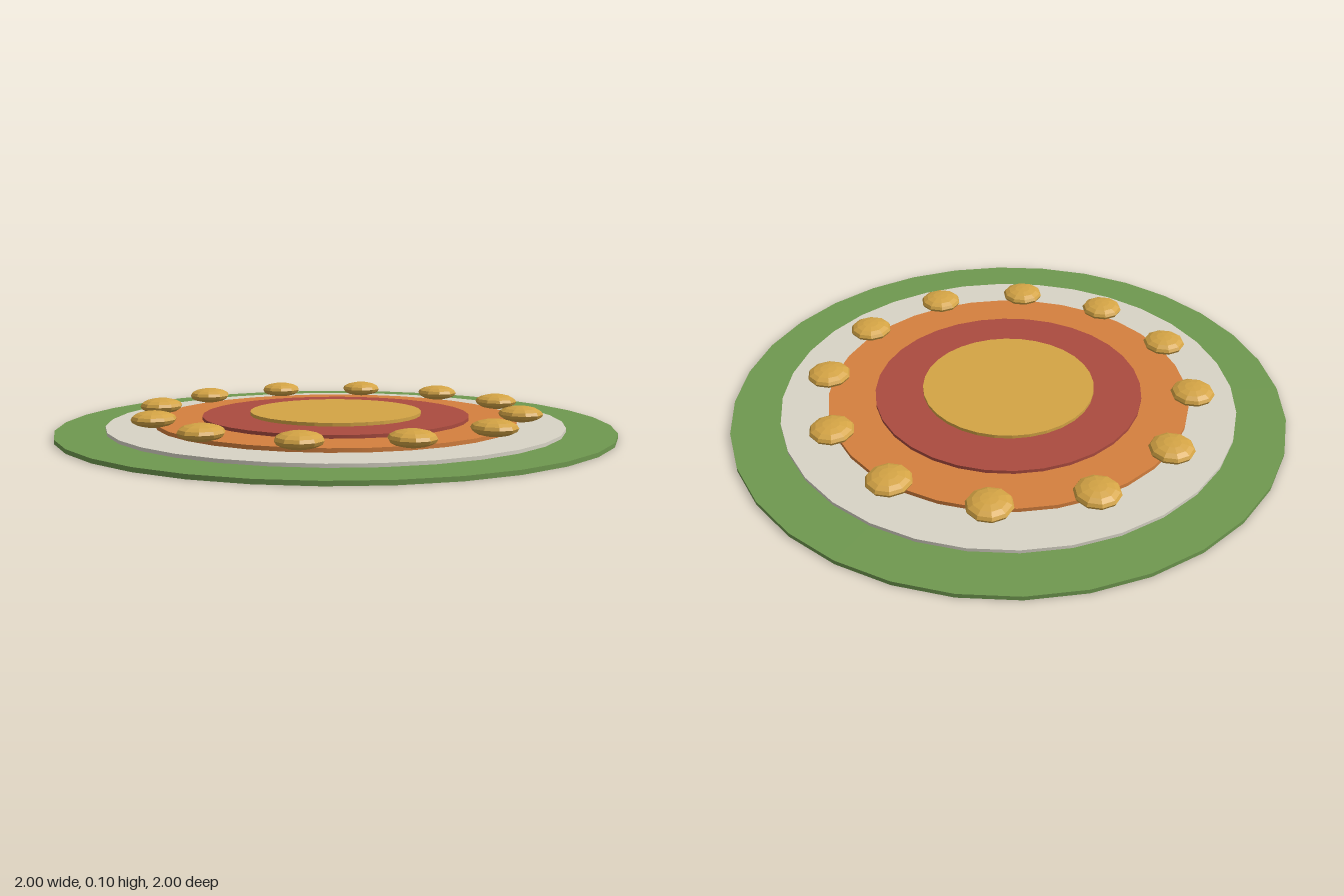
import * as THREE from 'three';

const mat = (name, color, flatShading = false) => {
  const m = new THREE.MeshStandardMaterial({ color, flatShading });
  m.name = name;
  return m;
};

export function createModel() {
  const group = new THREE.Group();
  group.name = 'roundMedallion';
  const gold = mat('gold', 0xd4a445, true);

  // Stacked discs: name, radius, bottom, top, material
  const discs = [
    ['greenBase', 1, 0, 0.015, mat('leaf green', 0x6f984f)],
    ['paleRing', 0.825, 0.01, 0.027, mat('pale stone', 0xd8d4c6)],
    ['orangeRing', 0.655, 0.02, 0.041, mat('orange', 0xd5803e)],
    ['redRing', 0.485, 0.03, 0.053, mat('brick red', 0xab4b3f)],
    ['goldCentre', 0.312, 0.04, 0.065, gold],
  ];
  for (const [name, radius, bottom, top, material] of discs) {
    const disc = new THREE.Mesh(new THREE.CylinderGeometry(radius, radius, top - bottom, 32), material);
    disc.position.y = (bottom + top) / 2;
    disc.name = name;
    group.add(disc);
  }

  // Flattened studs around the orange ring
  const studGeometry = new THREE.SphereGeometry(0.079, 10, 8);
  studGeometry.scale(1, 0.36, 1);
  for (let i = 0; i < 12; i++) {
    const a = (i / 12) * Math.PI * 2;
    const stud = new THREE.Mesh(studGeometry, gold);
    stud.position.set(Math.cos(a) * 0.667, 0.067, Math.sin(a) * 0.667);
    stud.name = `stud${i + 1}`;
    group.add(stud);
  }
  return group;
}
